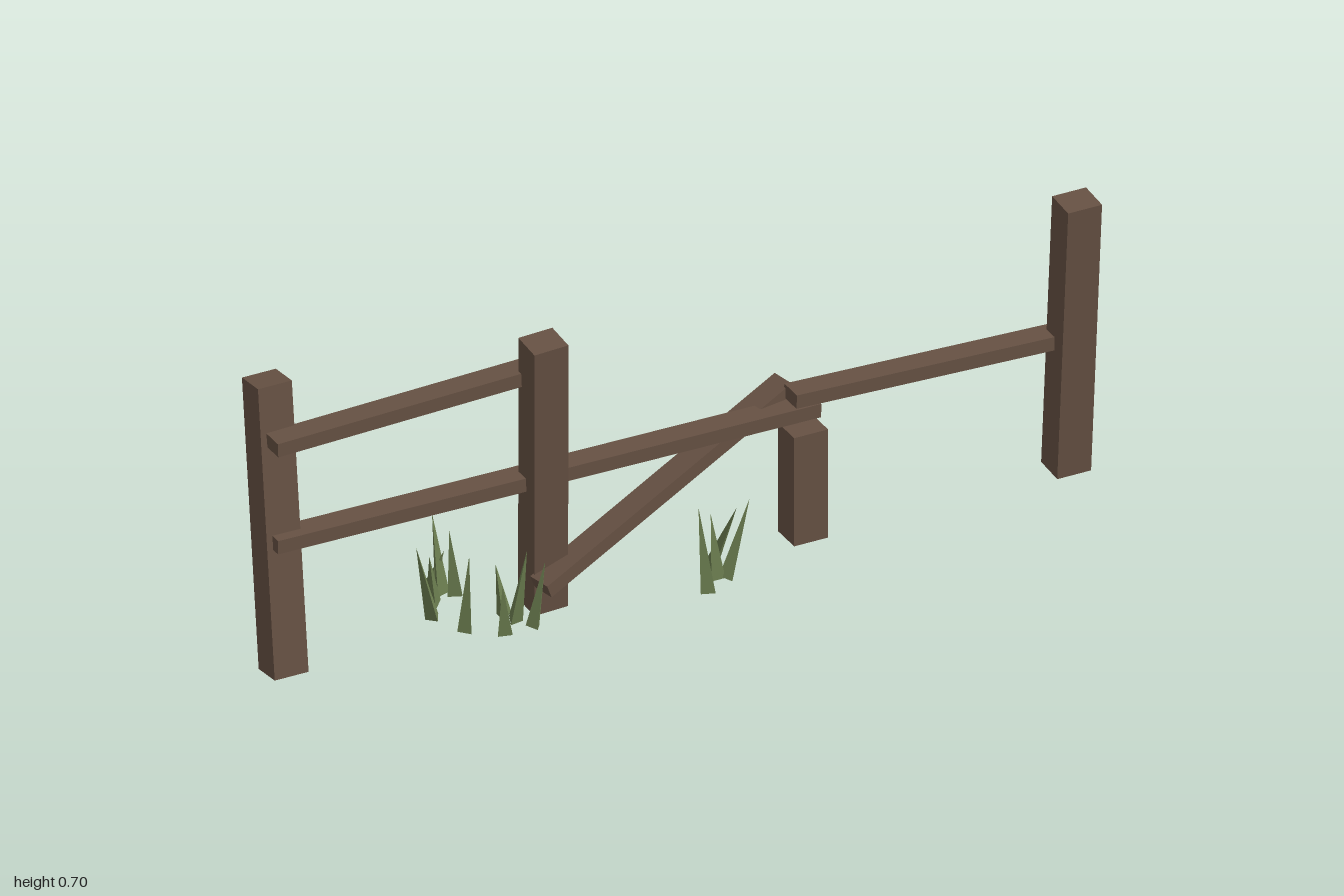
import * as THREE from 'three';

const V = (x, y, z) => new THREE.Vector3(x, y, z);

export function createModel() {
  const model = new THREE.Group();
  model.name = 'brokenFence';
  const wood = new THREE.MeshStandardMaterial({ color: 0x665143, flatShading: true });
  wood.name = 'weathered wood';
  const green = new THREE.MeshStandardMaterial({ color: 0x6c7e50, flatShading: true });
  green.name = 'grass green';

  // Square timber running from a to b
  function beam(name, a, b, thick, depth, upright) {
    const along = b.clone().sub(a);
    const length = along.length();
    along.normalize();
    const across = upright ? V(1, 0, 0).cross(along) : along.clone().cross(V(0, 1, 0));
    across.normalize();
    const side = along.clone().cross(across);
    const mesh = new THREE.Mesh(new THREE.BoxGeometry(thick, length, depth), wood);
    mesh.quaternion.setFromRotationMatrix(new THREE.Matrix4().makeBasis(side, along, across));
    mesh.position.copy(a).add(b).multiplyScalar(0.5);
    mesh.name = name;
    model.add(mesh);
  }

  // Leaning posts and the broken stub
  beam('rightPost', V(-0.958, 0.004, -0.01), V(-0.958, 0.692, -0.088), 0.083, 0.075, true);
  beam('middlePost', V(-0.322, 0.004, -0.011), V(-0.352, 0.692, 0.047), 0.083, 0.075, true);
  beam('leftPost', V(0.958, 0.003, -0.01), V(0.958, 0.692, 0.041), 0.083, 0.075, true);
  beam('brokenPost', V(0.315, 0.003, -0.012), V(0.315, 0.273, -0.012), 0.083, 0.075, true);

  // Rails
  beam('upperRail', V(-0.985, 0.572, -0.014), V(-0.295, 0.592, -0.014), 0.033, 0.059, false);
  beam('lowerRail', V(-0.985, 0.33, -0.014), V(0.345, 0.318, -0.014), 0.033, 0.059, false);
  beam('leftRail', V(0.285, 0.355, -0.014), V(0.985, 0.33, -0.014), 0.033, 0.059, false);
  beam('fallenRail', V(-0.365, 0.09, 0.06), V(0.302, 0.354, -0.07), 0.033, 0.059, false);

  // Grass blades: base x, base z, tip x, tip y, tip z
  const blades = [
    [-0.58, -0.03, -0.615, 0.2, -0.045], [-0.515, -0.12, -0.53, 0.22, -0.133],
    [-0.49, -0.1, -0.5, 0.18, -0.11], [-0.55, -0.085, -0.575, 0.16, -0.06],
    [-0.535, -0.148, -0.51, 0.13, -0.115], [-0.545, 0.053, -0.53, 0.2, 0.04],
    [-0.44, 0.03, -0.455, 0.15, 0.02], [-0.475, 0.1, -0.485, 0.15, 0.11],
    [-0.405, 0.105, -0.37, 0.17, 0.09], [-0.43, 0.06, -0.42, 0.215, 0.1],
    [0, 0.148, 0, 0.21, 0.1], [0.05, 0.06, 0.07, 0.215, 0.145],
    [0.045, 0.1, 0.035, 0.18, 0.09], [0.065, 0.11, 0.125, 0.2, 0.1],
  ];
  const grass = new THREE.Group();
  grass.name = 'grass';
  blades.forEach(([bx, bz, tx, ty, tz], i) => {
    const base = V(bx, 0.023, bz);
    const dir = V(tx, ty, tz).sub(base);
    const length = dir.length();
    const cone = new THREE.ConeGeometry(0.019, length, 3);
    cone.rotateY(i * 1.3).translate(0, length / 2, 0);
    const blade = new THREE.Mesh(cone, green);
    blade.quaternion.setFromUnitVectors(V(0, 1, 0), dir.normalize());
    blade.position.copy(base);
    blade.name = 'grassBlade';
    grass.add(blade);
  });
  model.add(grass);
  return model;
}
